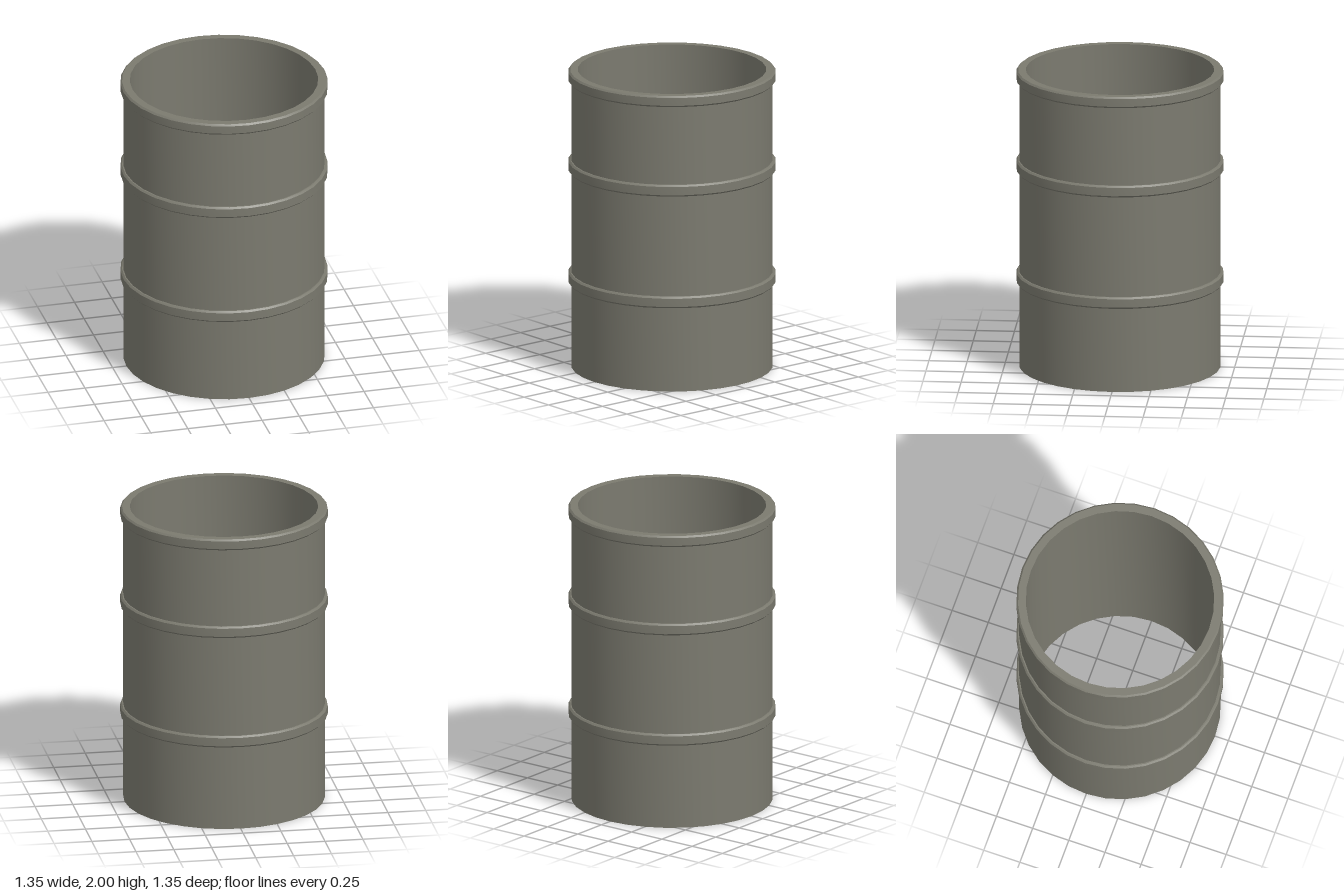
import * as THREE from 'three';
import { toCreasedNormals } from 'three/addons/utils/BufferGeometryUtils.js';

const SIDES = 32, INNER = 0.615, WALL = 0.658, BAND = 0.677;

export function createModel() {
  const group = new THREE.Group();
  group.name = 'openDrum';
  const steel = new THREE.MeshStandardMaterial({ color: 0x7b7a6f });
  steel.name = 'greySteel';

  // Turn a profile (outside running upwards); smooth around, sharp along the profile
  const turn = (name, profile) => {
    const lathe = new THREE.LatheGeometry(profile.map(p => new THREE.Vector2(...p)), SIDES);
    const mesh = new THREE.Mesh(toCreasedNormals(lathe, 0.5), steel);
    mesh.name = name;
    group.add(mesh);
  };

  // Open tube wall: inside, bottom edge, outside
  turn('wall', [[INNER, 2], [INNER, 0], [WALL, 0], [WALL, 1.93]]);

  // Two raised hoops with bevelled edges
  [['lowerHoop', 0.565], ['upperHoop', 1.32]].forEach(([name, y]) => turn(name, [
    [WALL, y], [0.666, y], [BAND, y + 0.011],
    [BAND, y + 0.067], [0.666, y + 0.078], [WALL, y + 0.078],
  ]));

  // Top rim with a flat lip
  turn('rim', [
    [WALL, 1.925], [0.666, 1.925], [BAND, 1.936],
    [BAND, 1.989], [0.666, 2], [INNER, 2],
  ]);

  return group;
}
